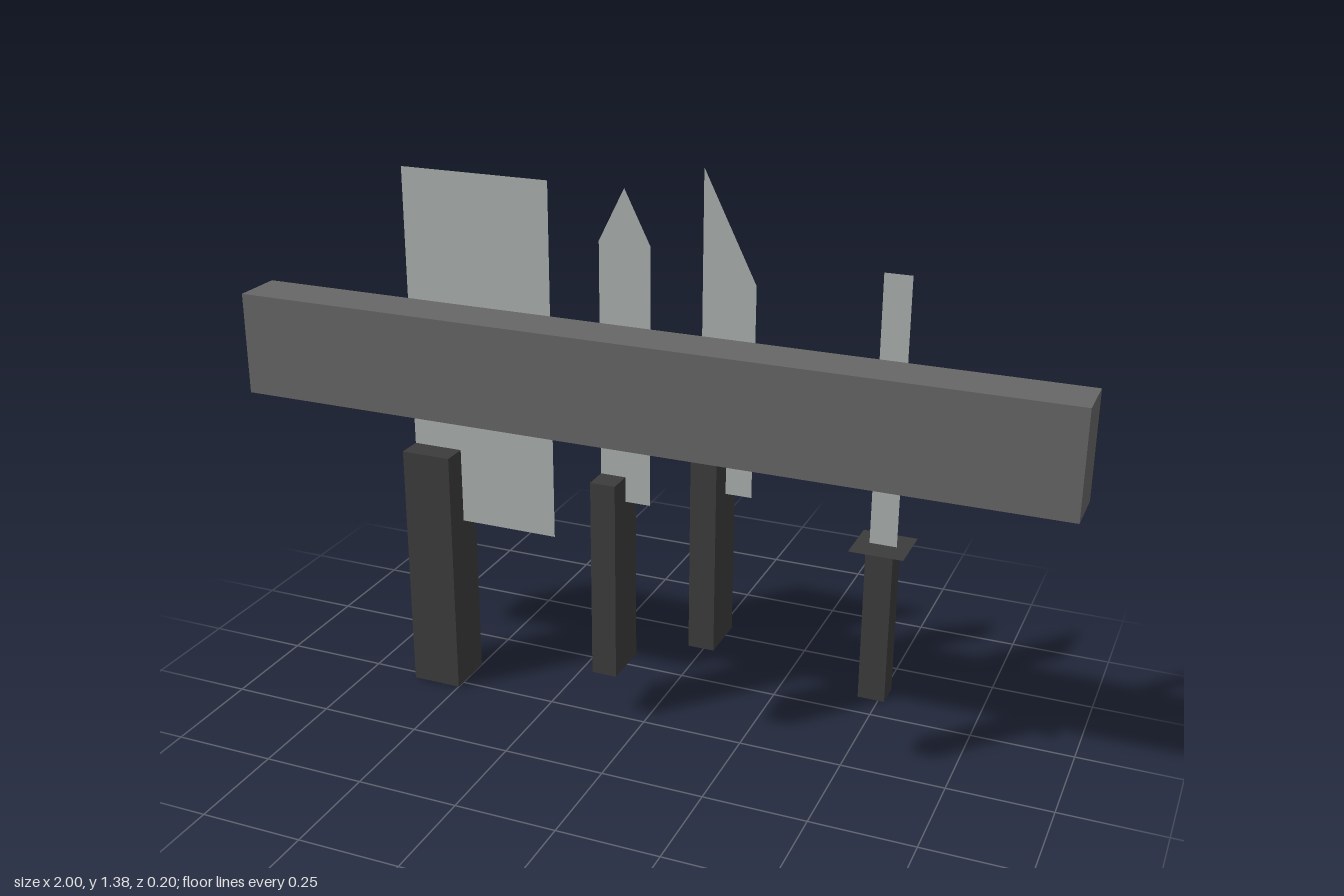
import * as THREE from 'three';

const mat = (name, color, side = THREE.FrontSide) => {
  const m = new THREE.MeshStandardMaterial({ color, side });
  m.name = name;
  return m;
};

export function createModel() {
  const model = new THREE.Group();
  model.name = 'knifeRack';
  const barGrey = mat('barGrey', 0x666666);
  const handleBlack = mat('handleBlack', 0x3c3c3c);
  const guardBlack = mat('guardBlack', 0x3c3c3c, THREE.DoubleSide);
  const steel = mat('steel', 0xaab0af, THREE.DoubleSide);
  const knifeZ = -0.0375;

  const add = (parent, name, geometry, material) => {
    const mesh = new THREE.Mesh(geometry, material);
    mesh.name = name;
    parent.add(mesh);
    return mesh;
  };

  // Wall bar
  add(model, 'bar', new THREE.BoxGeometry(2, 0.25, 0.125), barGrey).position.set(0, 0.875, 0.0375);

  // Knives: handle [x0, x1, y0, y1, depth] and flat blade outline
  const knives = [
    { name: 'cleaver', handle: [-0.625, -0.5, 0, 0.625, 0.125],
      blade: [[-0.625, 0.4375], [-0.25, 0.4375], [-0.25, 1.3125], [-0.625, 1.3125]] },
    { name: 'pointedKnife', handle: [-0.125, -0.0625, 0.125, 0.625, 0.125],
      blade: [[-0.125, 0.5625], [0, 0.5625], [0, 1.1875], [-0.0625, 1.3125], [-0.125, 1.1875]] },
    { name: 'slantedKnife', handle: [0.125, 0.1875, 0.25, 0.75, 0.125],
      blade: [[0.125, 0.625], [0.25, 0.625], [0.25, 1.125], [0.125, 1.375]] },
    { name: 'sharpeningSteel', handle: [0.5312, 0.5938, 0.1875, 0.5625, 0.0625],
      blade: [[0.5312, 0.5625], [0.5938, 0.5625], [0.5938, 1.1875], [0.5312, 1.1875]] },
  ];

  for (const { name, handle: [x0, x1, y0, y1, depth], blade } of knives) {
    const knife = new THREE.Group();
    knife.name = name;
    knife.position.z = knifeZ;
    add(knife, 'handle', new THREE.BoxGeometry(x1 - x0, y1 - y0, depth), handleBlack)
      .position.set((x0 + x1) / 2, (y0 + y1) / 2, 0);
    const outline = new THREE.Shape(blade.map(([x, y]) => new THREE.Vector2(x, y)));
    add(knife, 'blade', new THREE.ShapeGeometry(outline), steel);
    model.add(knife);
  }

  // Flat square guard on the sharpening steel
  const guard = add(model.getObjectByName('sharpeningSteel'), 'guard',
    new THREE.PlaneGeometry(0.125, 0.125).rotateX(-Math.PI / 2), guardBlack);
  guard.position.set(0.5625, 0.564, 0);

  return model;
}
